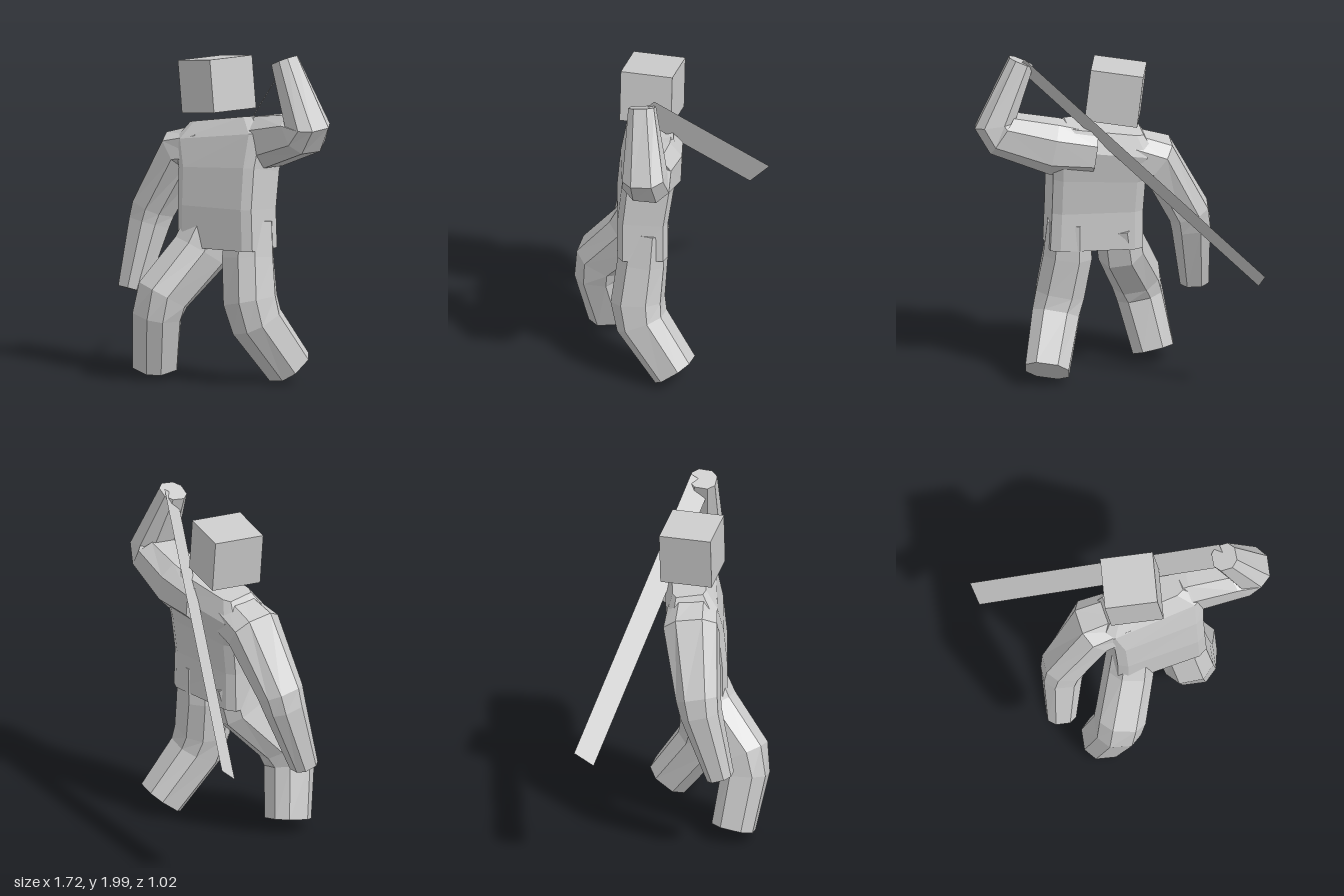
import * as THREE from 'three';

const V = (p) => new THREE.Vector3(...p);
const grey = () => new THREE.MeshStandardMaterial({ color: 0xcccccc, flatShading: true });

// Bevelled-box tube: rows are [x, y, z, halfWidth, halfDepth]; ref sets the width direction,
// k is the flat share of each side
function limb(name, rows, ref, k) {
  const outline = [[1, -k], [1, k], [k, 1], [-k, 1], [-1, k], [-1, -k], [-k, -1], [k, -1]];
  const centres = rows.map((r) => V(r.slice(0, 3)));
  const dir = (i) => centres[i + 1].clone().sub(centres[i]).normalize();
  const last = rows.length - 1;

  const rings = rows.map((r, i) => {
    const t = new THREE.Vector3();
    if (i > 0) t.add(dir(i - 1));
    if (i < last) t.add(dir(i));
    t.normalize();
    const u = V(ref).addScaledVector(t, -V(ref).dot(t)).normalize();
    const v = t.clone().cross(u);
    return outline.map(([a, b]) =>
      centres[i].clone().addScaledVector(u, a * r[3]).addScaledVector(v, b * r[4]));
  });

  const pos = [];
  const tri = (...pts) => pts.forEach((p) => pos.push(p.x, p.y, p.z));
  for (let j = 0; j < 8; j++) {
    const n = (j + 1) % 8;
    for (let i = 0; i < last; i++) {
      const a = rings[i], b = rings[i + 1];
      tri(a[j], a[n], b[n]);
      tri(a[j], b[n], b[j]);
    }
    // End caps
    tri(centres[0], rings[0][n], rings[0][j]);
    tri(centres[last], rings[last][j], rings[last][n]);
  }
  const geo = new THREE.BufferGeometry();
  geo.setAttribute('position', new THREE.Float32BufferAttribute(pos, 3));
  geo.computeVertexNormals();
  const mesh = new THREE.Mesh(geo, grey());
  mesh.name = name;
  return mesh;
}

export function createModel() {
  const model = new THREE.Group();
  model.name = 'swordsman';

  // Torso, turned so its right side is forward
  model.add(limb('torso', [
    [0.165, 0.81, 0.06, 0.28, 0.15],
    [0.16, 1.05, 0.06, 0.275, 0.15],
    [0.15, 1.27, 0.035, 0.28, 0.155],
    [0.12, 1.45, 0.0, 0.32, 0.155],
    [0.10, 1.56, -0.01, 0.23, 0.10],
  ], [1, 0, -0.2], 0.8));

  // Arms
  model.add(limb('leftArm', [
    [0.16, 1.42, -0.04, 0.14, 0.13],
    [0.40, 1.455, -0.07, 0.15, 0.155],
    [0.70, 1.535, -0.07, 0.14, 0.13],
    [0.745, 1.59, -0.065, 0.125, 0.12],
    [0.59, 1.965, -0.02, 0.077, 0.075],
  ], [0, 0, 1], 0.5));
  model.add(limb('rightArm', [
    [0.0, 1.40, 0.04, 0.14, 0.13],
    [-0.215, 1.345, 0.07, 0.16, 0.13],
    [-0.40, 0.99, 0.15, 0.125, 0.12],
    [-0.415, 0.90, 0.17, 0.115, 0.115],
    [-0.435, 0.51, 0.29, 0.075, 0.085],
  ], [0, 0, 1], 0.5));

  // Legs
  model.add(limb('leftLeg', [
    [0.305, 0.98, 0.01, 0.13, 0.125],
    [0.315, 0.76, 0.03, 0.145, 0.14],
    [0.36, 0.51, 0.05, 0.145, 0.15],
    [0.385, 0.38, 0.02, 0.14, 0.145],
    [0.435, 0.095, -0.19, 0.13, 0.127],
  ], [1, 0, 0], 0.5));
  model.add(limb('rightLeg', [
    [0.025, 0.95, 0.07, 0.13, 0.14],
    [0.0, 0.77, 0.13, 0.135, 0.165],
    [-0.085, 0.52, 0.35, 0.14, 0.15],
    [-0.11, 0.40, 0.375, 0.135, 0.135],
    [-0.19, 0.08, 0.32, 0.123, 0.125],
  ], [1, 0, 0], 0.5));

  // Head
  const head = new THREE.Mesh(new THREE.BoxGeometry(0.315, 0.315, 0.315), grey());
  head.name = 'head';
  head.position.set(0.03, 1.765, 0.025);
  head.rotation.set(0, -0.06, 0.12, 'ZYX');
  model.add(head);

  // Flat blade held behind the back
  const bladeGeo = new THREE.BufferGeometry();
  bladeGeo.setAttribute('position', new THREE.Float32BufferAttribute([
    -0.86, 0.78, -0.51, -0.82, 0.69, -0.40, 0.61, 1.91, 0.02, 0.57, 2.0, -0.09,
  ], 3));
  bladeGeo.setIndex([0, 1, 2, 0, 2, 3]);
  bladeGeo.computeVertexNormals();
  const blade = new THREE.Mesh(bladeGeo, grey());
  blade.material.side = THREE.DoubleSide;
  blade.name = 'blade';
  model.add(blade);

  return model;
}
